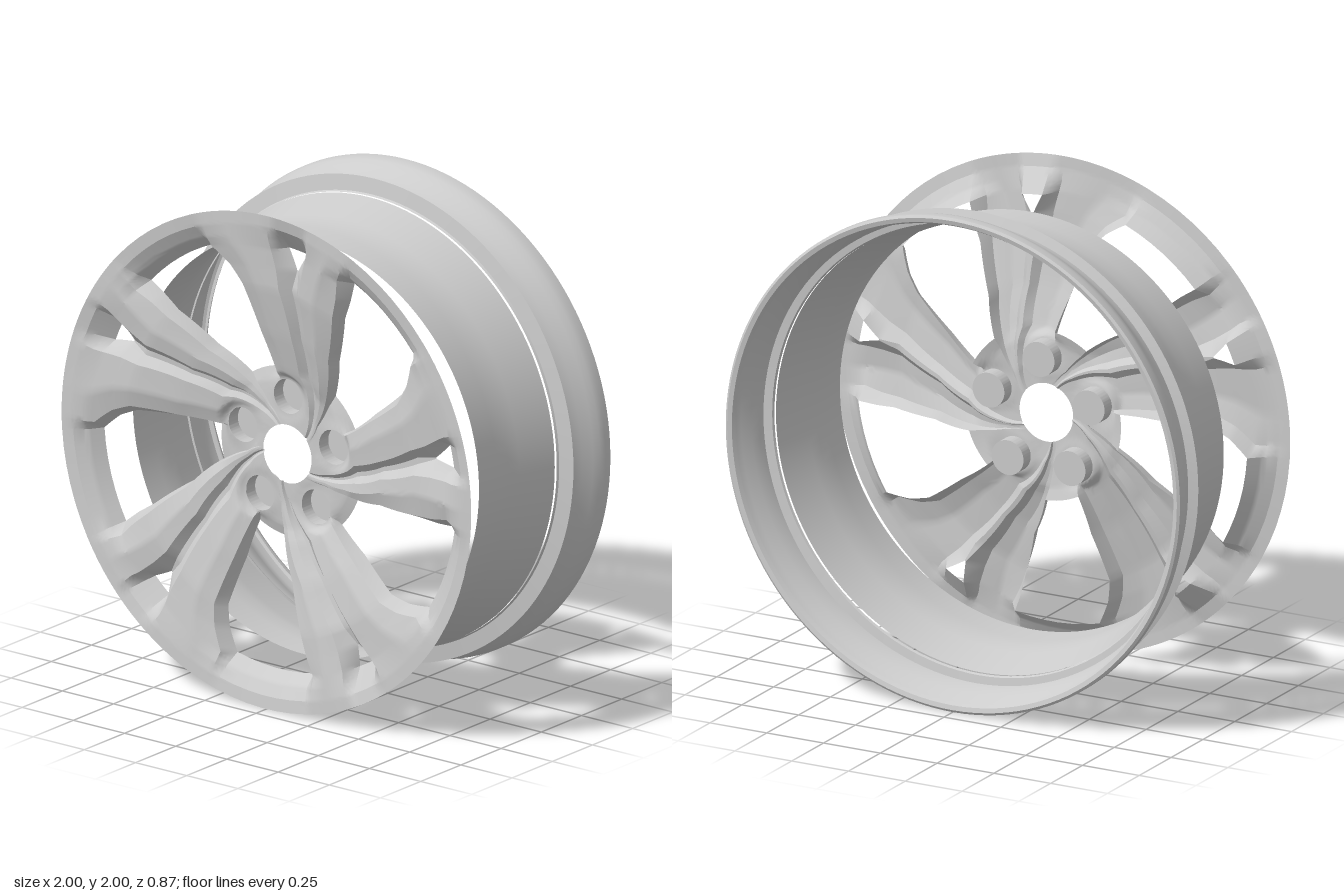
import * as THREE from 'three';
import { toCreasedNormals } from 'three/addons/utils/BufferGeometryUtils.js';

const TURN = (Math.PI * 2) / 5;
const LUG_R = 0.07, LUG_RING = 0.232, LUG_Z = 0.3, LUG_BACK = 0.243;
const lugs = [0, 1, 2, 3, 4].map((k) => {
  const a = Math.PI / 2 + k * TURN;
  return new THREE.Vector2(Math.cos(a) * LUG_RING, Math.sin(a) * LUG_RING);
});

// Stations from bore to rim edge: radius, crest height, wall-foot height, groove depth
const RADII = [0.118, 0.2, 0.3, 0.345, 0.5, 0.7, 0.78, 0.86, 0.9, 0.95, 1];
const CREST = [0.305, 0.305, 0.318, 0.335, 0.375, 0.415, 0.422, 0.43, 0.433, 0.436, 0.436];
const FOOT = [0.305, 0.3, 0.29, 0.275, 0.3, 0.345, 0.348, 0.35, 0.4, 0.43, 0.436];
const GROOVE = [0.008, 0.015, 0.022, 0.028, 0.035, 0.045, 0.07, 0.08, 0.05, 0.012, 0];

// Lines running along one spoke: angle in degrees at each station,
// lift between foot (0) and crest (1), and share of the groove depth
const LINES = [
  { lift: 0, dip: 0, deg: [32, 44, 50, 52, 59.8, 63.4, 64, 65, 65, 65, 65] },
  { lift: 0.75, dip: 0, deg: [33, 45, 51.5, 54, 61.5, 65.5, 66.5, 68, 67.5, 67, 67] },
  { lift: 1, dip: 0, deg: [36, 48, 56, 59, 68, 73, 73, 72.5, 72, 72, 72] },
  { lift: 1, dip: 0.15, deg: [39, 51, 61, 65, 74, 79, 79, 78.5, 78, 78, 78] },
  { lift: 1, dip: 1, deg: [41, 53, 64, 69, 77, 82, 83.3, 81, 80.5, 80, 80] },
  { lift: 1, dip: 1, deg: [42, 55, 66.5, 72, 79, 84, 83.7, 87, 87, 87, 87] },
  { lift: 1, dip: 0.15, deg: [45, 59, 71, 77, 82, 87, 88, 89.5, 90, 90, 90] },
  { lift: 1, dip: 0, deg: [58, 74, 85, 88, 93, 96, 98, 101, 102, 102, 102] },
  { lift: 0.75, dip: 0, deg: [72, 88, 97, 97.5, 100, 102, 105, 109.5, 109.5, 109, 109] },
  { lift: 0, dip: 0, deg: [80, 92, 98.5, 99, 102.4, 104.5, 107.5, 112, 112, 112, 112] },
];
// The next spoke's first line closes the sector across the window
LINES.push({ ...LINES[0], deg: LINES[0].deg.map((d) => d + 72) });

const WINDOW_SPAN = 9, SLIT_SPAN = 4, SUB = 6;
const isOpen = (row, span) =>
  (span === WINDOW_SPAN && row >= 3 && row < 7) || (span === SLIT_SPAN && row === 6);

// A key point of the lattice as (radius, angle, height)
function keyPoint(row, line) {
  const { lift, dip, deg } = LINES[line];
  const z = THREE.MathUtils.lerp(FOOT[row], CREST[row], lift) - dip * GROOVE[row];
  return new THREE.Vector3(RADII[row], THREE.MathUtils.degToRad(deg[row]), z);
}

// Point inside a lattice cell; points in a lug hole move to its edge
function facePoint(row, span, u, v, turn) {
  const low = keyPoint(row, span).lerp(keyPoint(row, span + 1), u);
  const high = keyPoint(row + 1, span).lerp(keyPoint(row + 1, span + 1), u);
  const p = low.lerp(high, v);
  const q = new THREE.Vector2(Math.cos(p.y + turn) * p.x, Math.sin(p.y + turn) * p.x);
  let inside = false;
  for (const lug of lugs) {
    const d = q.distanceTo(lug);
    p.z = THREE.MathUtils.lerp(LUG_Z, p.z, THREE.MathUtils.smoothstep(d, LUG_R, LUG_R + 0.035));
    if (d < LUG_R) {
      inside = true;
      q.sub(lug).setLength(LUG_R).add(lug);
    }
  }
  return { xyz: [q.x, q.y, p.z], inside };
}

// Dished face with five forked spokes, windows, slits and lug holes
function spokedFace() {
  const positions = [];
  const triangle = (...corners) => {
    if (corners.every((c) => c.inside)) return;
    corners.forEach((c) => positions.push(...c.xyz));
  };
  for (let k = 0; k < 5; k++) {
    for (let row = 0; row < RADII.length - 1; row++) {
      for (let span = 0; span < LINES.length - 1; span++) {
        if (isOpen(row, span)) continue;
        const at = (i, j) => facePoint(row, span, j / SUB, i / SUB, k * TURN);
        for (let i = 0; i < SUB; i++) {
          for (let j = 0; j < SUB; j++) {
            const a = at(i, j), b = at(i + 1, j), c = at(i + 1, j + 1), d = at(i, j + 1);
            triangle(a, b, c);
            triangle(a, c, d);
          }
        }
      }
    }
  }
  const geometry = new THREE.BufferGeometry();
  geometry.setAttribute('position', new THREE.Float32BufferAttribute(positions, 3));
  return toCreasedNormals(geometry, 0.4);
}

// Surface of revolution about z from [radius, z] pairs
function ring(profile) {
  const points = profile.map(([r, z]) => new THREE.Vector2(r, z));
  const geometry = new THREE.LatheGeometry(points, 128).rotateX(Math.PI / 2);
  return toCreasedNormals(geometry, 0.5);
}

export function createModel() {
  const model = new THREE.Group();
  model.name = 'wheelRim';
  const wheel = new THREE.Group();
  wheel.name = 'wheel';
  wheel.position.y = 1;
  model.add(wheel);

  const grey = new THREE.MeshStandardMaterial({ color: 0xcccccc, side: THREE.DoubleSide });
  const add = (name, geometry) => {
    const mesh = new THREE.Mesh(geometry, grey);
    mesh.name = name;
    wheel.add(mesh);
    return mesh;
  };

  add('spokedFace', spokedFace());

  // Lug cups, open to the front
  const cup = ring([[0, LUG_BACK], [LUG_R, LUG_BACK], [LUG_R, LUG_Z]]);
  lugs.forEach((p) => add('lugCup', cup).position.set(p.x, p.y, 0));

  // Barrel and the separate rear flange with its bead fin and rolled lip
  add('barrel', ring([[0.845, 0.19], [0.847, 0.08], [0.85, 0.01], [0.862, -0.04], [0.905, -0.205]]));
  add('rearFlange', ring([
    [0.905, -0.217], [0.91, -0.226], [0.972, -0.236], [0.935, -0.25], [0.94, -0.275],
    [0.955, -0.31], [0.978, -0.35], [0.993, -0.375], [1, -0.4], [1, -0.43],
    [0.99, -0.437], [0.972, -0.432], [0.963, -0.415],
  ]));
  return model;
}
